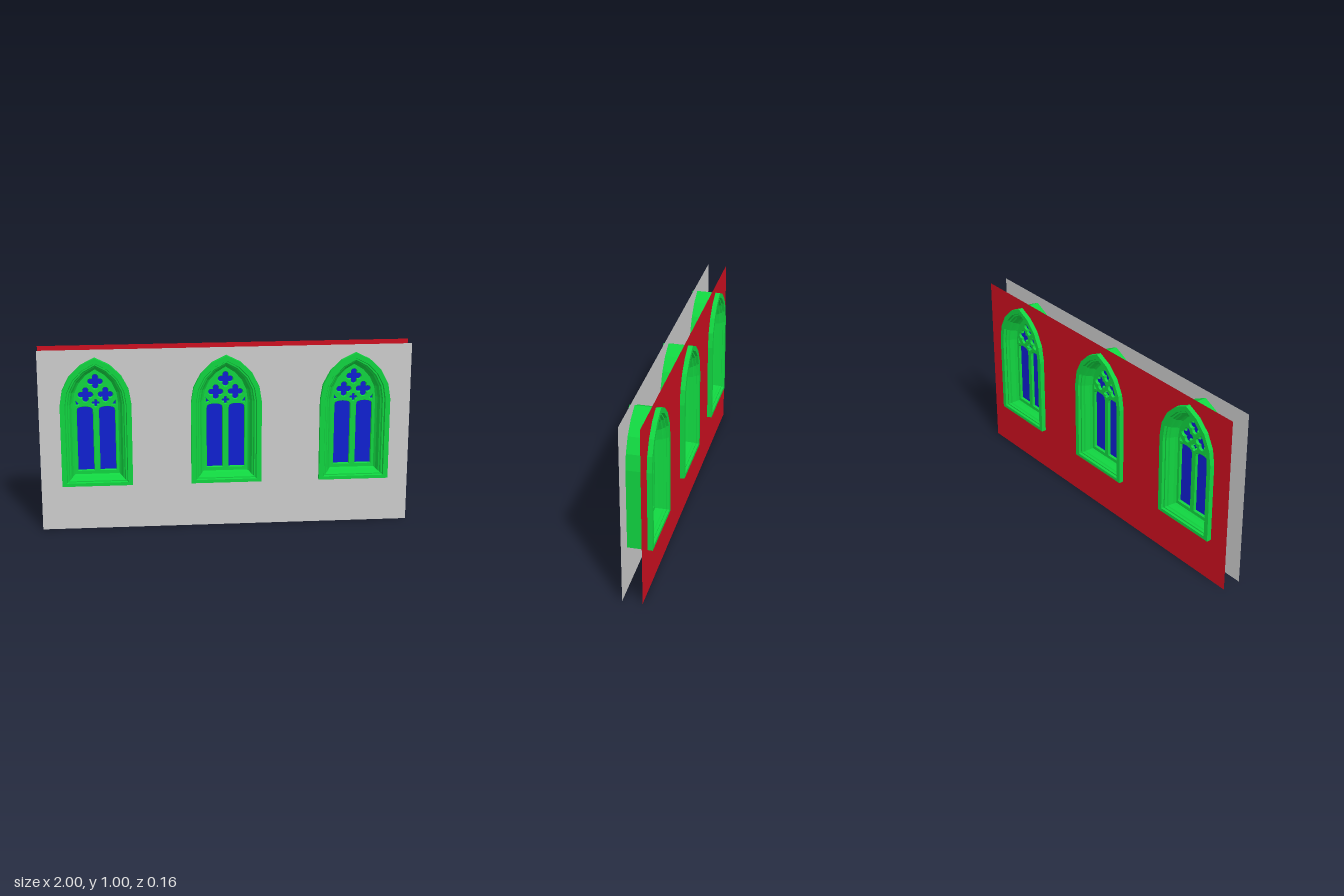
import * as THREE from 'three';

const SPRING = 0.7, C = 0.08, R = 0.27, BASE = 0.25, HALF = 0.19;
const ARCH_STEPS = 4;

const mat = (color, extra = {}) => new THREE.MeshStandardMaterial({ color, ...extra });
const stone = mat(0x11d440, { flatShading: true, side: THREE.DoubleSide });
const blue = mat(0x1020d0, { side: THREE.DoubleSide });
const grey = mat(0xcccccc, { side: THREE.DoubleSide });
const red = mat(0xcd1020, { side: THREE.DoubleSide });

// Pointed-arch outline moved inwards by d, counter-clockwise from the lower left
function archOutline(d) {
  const r = R - d, w = HALF - d, bottom = BASE + 0.7 * d;
  const end = Math.acos(C / r);
  const right = [];
  for (let i = 0; i <= ARCH_STEPS; i++) {
    const a = (end * i) / ARCH_STEPS;
    right.push(new THREE.Vector2(r * Math.cos(a) - C, SPRING + r * Math.sin(a)));
  }
  const left = right.slice(0, -1).reverse().map((p) => new THREE.Vector2(-p.x, p.y));
  return [new THREE.Vector2(-w, bottom), new THREE.Vector2(w, bottom), ...right, ...left];
}

// Moulded surround: a profile of [inset, z] swept round the outline
function frameGeometry() {
  const front = [[0.072, 0.012], [0.06, 0.026], [0.05, 0.05], [0.043, 0.055],
    [0.038, 0.066], [0.03, 0.066], [0.026, 0.079], [0, 0.079]];
  const profile = [...front, ...front.map(([d, z]) => [d, -z]).reverse()];
  const positions = [], index = [];
  let n = 0;
  profile.forEach(([d, z], i) => {
    const ring = archOutline(d);
    n = ring.length;
    ring.forEach((p, j) => {
      positions.push(p.x, p.y, z);
      if (i === profile.length - 1) return;
      const a = i * n + j, b = i * n + ((j + 1) % n);
      index.push(a, a + n, b + n, a, b + n, b);
    });
  });
  const g = new THREE.BufferGeometry();
  g.setAttribute('position', new THREE.Float32BufferAttribute(positions, 3));
  g.setIndex(index);
  g.computeVertexNormals();
  return g;
}

// Four-lobed opening
function quatrefoil(x, y, size) {
  const a = 0.56 * size, r = 0.44 * size, pts = [];
  for (let i = 0; i < 32; i++) {
    const t = (i / 32) * Math.PI * 2 + Math.PI / 4;
    const phi = ((i % 8) / 8) * (Math.PI / 2) - Math.PI / 4;
    const rho = a * Math.cos(phi) + Math.sqrt(r * r - (a * Math.sin(phi)) ** 2);
    pts.push(new THREE.Vector2(x + rho * Math.cos(t), y + rho * Math.sin(t)));
  }
  return new THREE.Path(pts);
}

// Tall round-shouldered light
function lancet(side) {
  const x0 = 0.014, x1 = 0.105, top = 0.68, mid = (x0 + x1) / 2, pts = [];
  pts.push(new THREE.Vector2(side * x0, 0.318), new THREE.Vector2(side * x1, 0.318));
  for (let i = 0; i <= 10; i++) {
    const a = (Math.PI * i) / 10;
    pts.push(new THREE.Vector2(side * (mid + ((x1 - x0) / 2) * Math.cos(a)),
      top - 0.032 + 0.032 * Math.sqrt(Math.sin(a))));
  }
  return new THREE.Path(pts);
}

// Pierced stone screen
function traceryGeometry() {
  const shape = new THREE.Shape(archOutline(0.066));
  shape.holes.push(quatrefoil(0, 0.815, 0.043), quatrefoil(0, 0.697, 0.023));
  for (const s of [-1, 1]) {
    shape.holes.push(lancet(s), quatrefoil(s * 0.053, 0.743, 0.043));
    shape.holes.push(new THREE.Path([
      new THREE.Vector2(s * 0.084, 0.688),
      new THREE.Vector2(s * 0.108, 0.685),
      new THREE.Vector2(s * 0.108, 0.715),
    ]));
  }
  const g = new THREE.ExtrudeGeometry(shape, {
    depth: 0.016, bevelEnabled: true, bevelThickness: 0.006, bevelSize: 0.003, bevelSegments: 1,
  });
  return g.translate(0, 0, -0.008);
}

export function createModel() {
  const model = new THREE.Group();
  const add = (parent, name, geometry, material) => {
    const mesh = new THREE.Mesh(geometry, material);
    mesh.name = name;
    parent.add(mesh);
    return mesh;
  };
  const centres = [-0.697, 0, 0.697];

  // Thin wall faces with arched openings
  const wall = new THREE.Shape([[-1, 0], [1, 0], [1, 1], [-1, 1]].map(([x, y]) => new THREE.Vector2(x, y)));
  for (const cx of centres) {
    wall.holes.push(new THREE.Path(archOutline(0.006).map((p) => new THREE.Vector2(p.x + cx, p.y))));
  }
  const wallGeometry = new THREE.ShapeGeometry(wall);
  add(model, 'frontWall', wallGeometry, grey).position.z = 0.053;
  const back = add(model, 'backWall', wallGeometry, red);
  back.position.z = -0.053;
  back.rotation.y = Math.PI;

  // Three identical windows
  const frame = frameGeometry();
  const tracery = traceryGeometry();
  const glass = new THREE.ShapeGeometry(new THREE.Shape(archOutline(0.068)));
  centres.forEach((cx, i) => {
    const win = new THREE.Group();
    win.name = ['rightWindow', 'middleWindow', 'leftWindow'][i];
    win.position.x = cx;
    add(win, 'frame', frame, stone);
    add(win, 'tracery', tracery, stone);
    add(win, 'glass', glass, blue);
    model.add(win);
  });
  return model;
}
